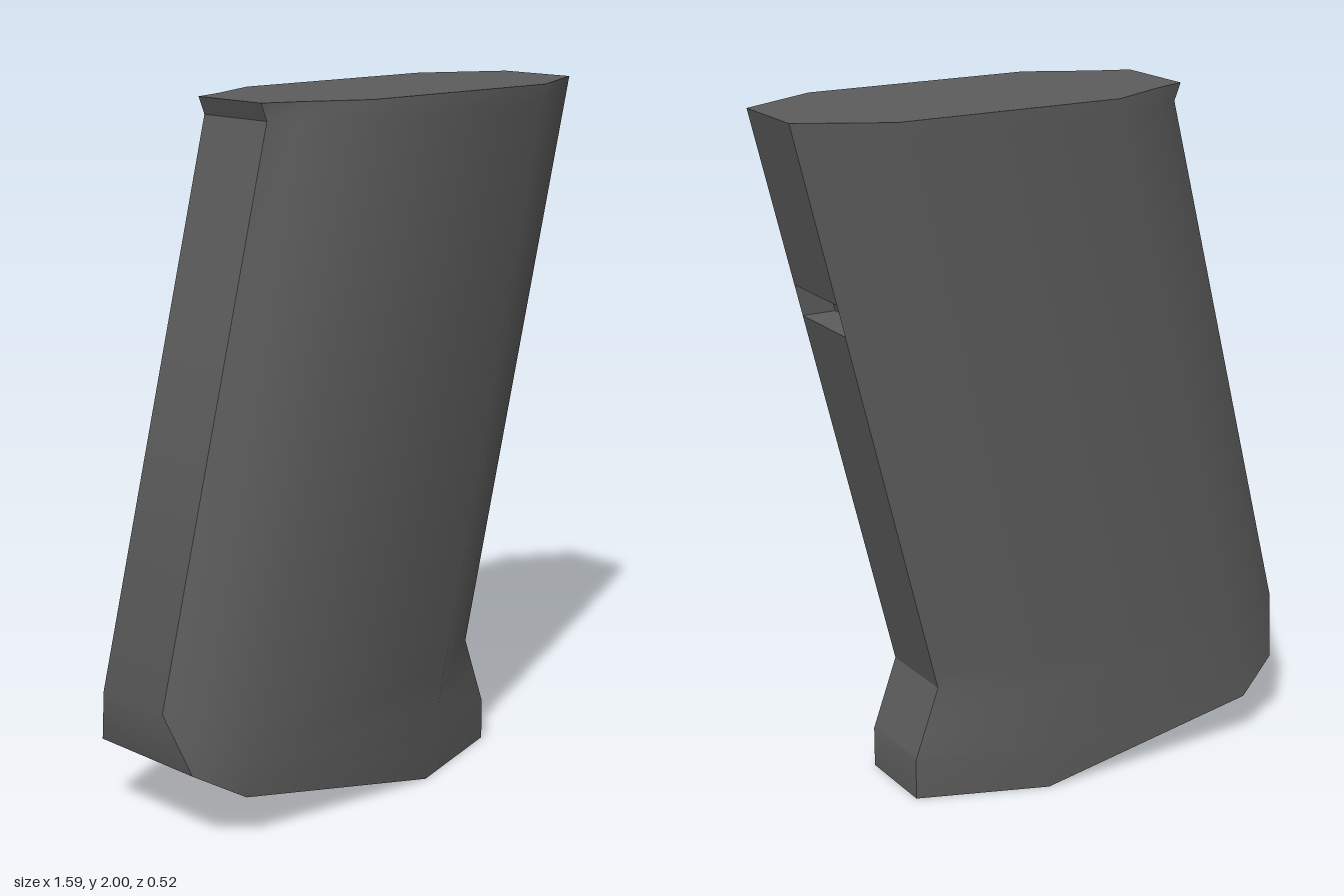
import * as THREE from 'three';
import { toCreasedNormals } from 'three/addons/utils/BufferGeometryUtils.js';

// Long edges of one half, rear to front: [x, y, z] from top to bottom
const rails = [
  [[-0.425, 2, 0.13], [-0.405, 1.95, 0.13], [-0.795, 0.38, 0.13]],
  [[-0.32, 2, 0.17], [-0.75, 0.21, 0.2]],
  [[-0.14, 2, 0.26], [-0.61, 0.13, 0.26]],
  [[0.545, 2, 0.26], [0.08, 0, 0.26]],
  [[0.79, 2, 0.13], [0.375, 0.33, 0.13], [0.45, 0.12, 0.13], [0.45, 0, 0.13]],
];
const rows = [2, 1.95, 1.5, 1.41, 0.38, 0.33, 0.21, 0.13, 0.12, 0];
const slotRow = 2, slotDepth = 0.1;

// Point on a rail at height y, held at the rail's lower end
function pointAt(rail, y, side) {
  const h = Math.max(y, rail[rail.length - 1][1]);
  let i = 0;
  while (i < rail.length - 2 && rail[i + 1][1] > h) i++;
  const a = new THREE.Vector3(...rail[i]), b = new THREE.Vector3(...rail[i + 1]);
  const p = a.clone().lerp(b, (a.y - h) / (a.y - b.y));
  p.z *= side;
  return p;
}

// Geometry from quads, leaving out collapsed triangles
function fromQuads(quads) {
  const pos = [];
  for (const [a, b, c, d] of quads) {
    for (const [p, q, r] of [[a, b, c], [a, c, d]]) {
      if (new THREE.Triangle(p, q, r).getArea() < 1e-7) continue;
      for (const v of [p, q, r]) pos.push(v.x, v.y, v.z);
    }
  }
  const g = new THREE.BufferGeometry();
  g.setAttribute('position', new THREE.Float32BufferAttribute(pos, 3));
  return toCreasedNormals(g, 0.58);
}

export function createModel() {
  const group = new THREE.Group();
  group.name = 'grip';
  const darkGrey = new THREE.MeshStandardMaterial({ color: 0x5c5c5c });
  darkGrey.name = 'dark grey';

  const n = rails.length;
  const ring = y => [
    ...rails.map(r => pointAt(r, y, 1)),
    ...rails.map(r => pointAt(r, y, -1)).reverse(),
  ];
  const rings = rows.map(ring);
  const body = [];

  // Walls, leaving the slot open in the narrow front strip
  for (let j = 0; j < rows.length - 1; j++) {
    for (let i = 0; i < 2 * n; i++) {
      if (j === slotRow && i === n - 1) continue;
      const k = (i + 1) % (2 * n);
      body.push([rings[j + 1][i], rings[j + 1][k], rings[j][k], rings[j][i]]);
    }
  }

  // Top and bevelled bottom
  const top = rings[0], bottom = rings[rings.length - 1];
  for (let i = 0; i < n - 1; i++) {
    const o = 2 * n - 1 - i;
    body.push([top[i], top[i + 1], top[o - 1], top[o]]);
    body.push([bottom[o], bottom[o - 1], bottom[i + 1], bottom[i]]);
  }

  // Recessed slot
  const a = rings[slotRow][n - 1], b = rings[slotRow][n];
  const c = rings[slotRow + 1][n - 1], d = rings[slotRow + 1][n];
  const [a2, b2, c2, d2] = [a, b, c, d].map(p => p.clone().setX(p.x - slotDepth));
  const slot = [
    [c2, d2, b2, a2], // back
    [c2, c, d, d2],   // floor
    [a2, b2, b, a],   // ceiling
    [c2, a2, a, c],   // sides
    [d2, d, b, b2],
  ];

  for (const [name, quads] of [['gripBody', body], ['catchSlot', slot]]) {
    const mesh = new THREE.Mesh(fromQuads(quads), darkGrey);
    mesh.name = name;
    group.add(mesh);
  }
  return group;
}
